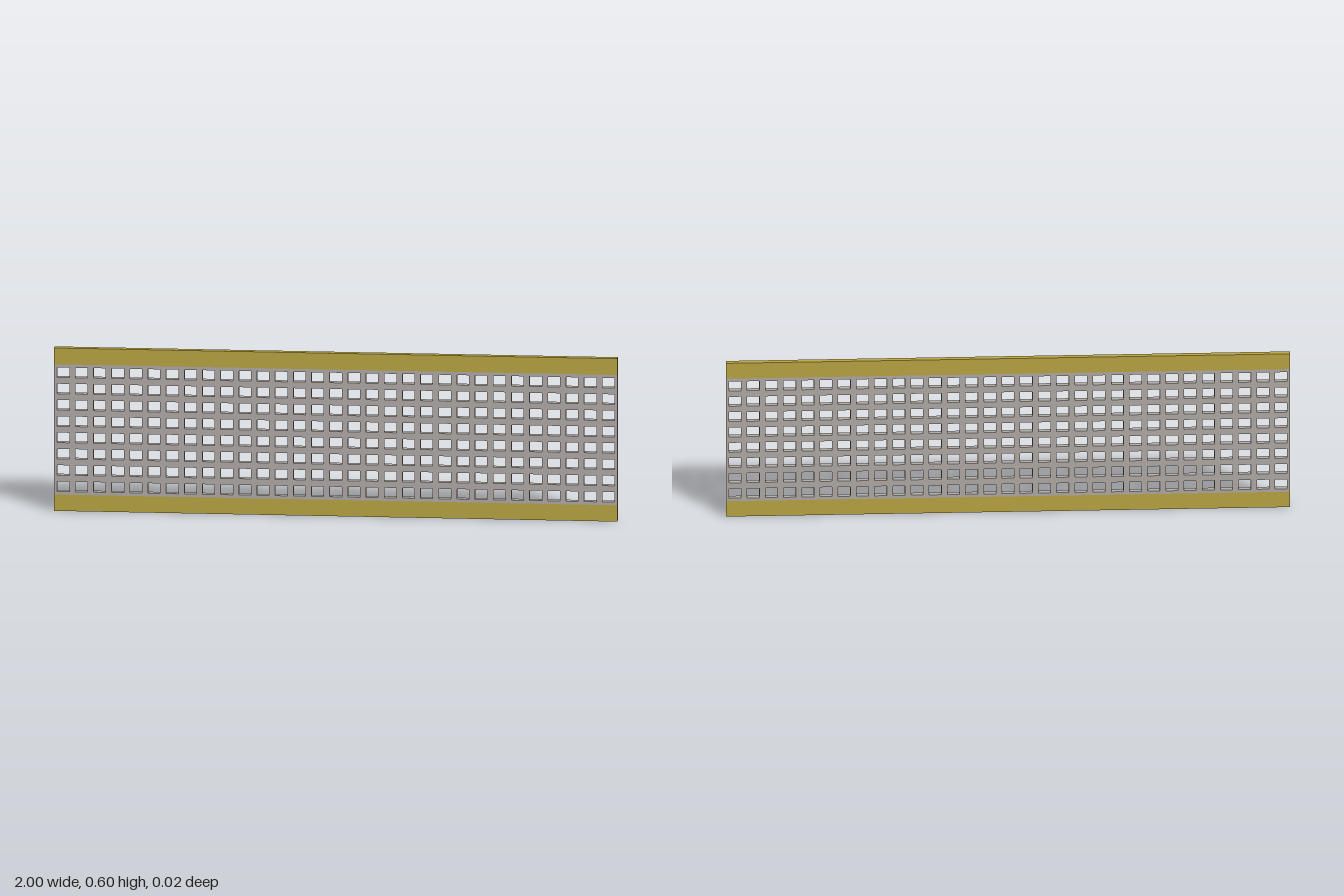
import * as THREE from 'three';

const WIDTH = 2, HEIGHT = 0.6, DEPTH = 0.02, RAIL = 0.06;
const COLS = 31, ROWS = 8, HOLE_W = 0.043, HOLE_H = 0.037;

// Adds a closed rectangle, centred on (x, y), to a shape or path
function rectangle(path, x, y, w, h) {
  path.moveTo(x - w / 2, y - h / 2);
  path.lineTo(x + w / 2, y - h / 2);
  path.lineTo(x + w / 2, y + h / 2);
  path.lineTo(x - w / 2, y + h / 2);
  path.closePath();
  return path;
}

export function createModel() {
  const group = new THREE.Group();
  group.name = 'perforatedBoard';

  const yellow = new THREE.MeshStandardMaterial({ color: 0xb9a542 });
  yellow.name = 'ochre yellow';
  const grey = new THREE.MeshStandardMaterial({ color: 0xb1aba7 });
  grey.name = 'warm grey';

  // Panel pierced by a regular grid of rectangular holes
  const gridHeight = HEIGHT - 2 * RAIL;
  const shape = rectangle(new THREE.Shape(), 0, HEIGHT / 2, WIDTH, gridHeight);
  for (let r = 0; r < ROWS; r++) {
    for (let c = 0; c < COLS; c++) {
      const x = -WIDTH / 2 + (c + 0.5) * WIDTH / COLS;
      const y = RAIL + (r + 0.5) * gridHeight / ROWS;
      shape.holes.push(rectangle(new THREE.Path(), x, y, HOLE_W, HOLE_H));
    }
  }
  const panelGeometry = new THREE.ExtrudeGeometry(shape, { depth: DEPTH, bevelEnabled: false });
  panelGeometry.translate(0, 0, -DEPTH / 2);
  const panel = new THREE.Mesh(panelGeometry, grey);
  panel.name = 'perforatedPanel';
  group.add(panel);

  // Solid rails along the bottom and top edges
  const railGeometry = new THREE.BoxGeometry(WIDTH, RAIL, DEPTH);
  for (const [name, y] of [['bottomRail', RAIL / 2], ['topRail', HEIGHT - RAIL / 2]]) {
    const rail = new THREE.Mesh(railGeometry, yellow);
    rail.name = name;
    rail.position.y = y;
    group.add(rail);
  }

  return group;
}
